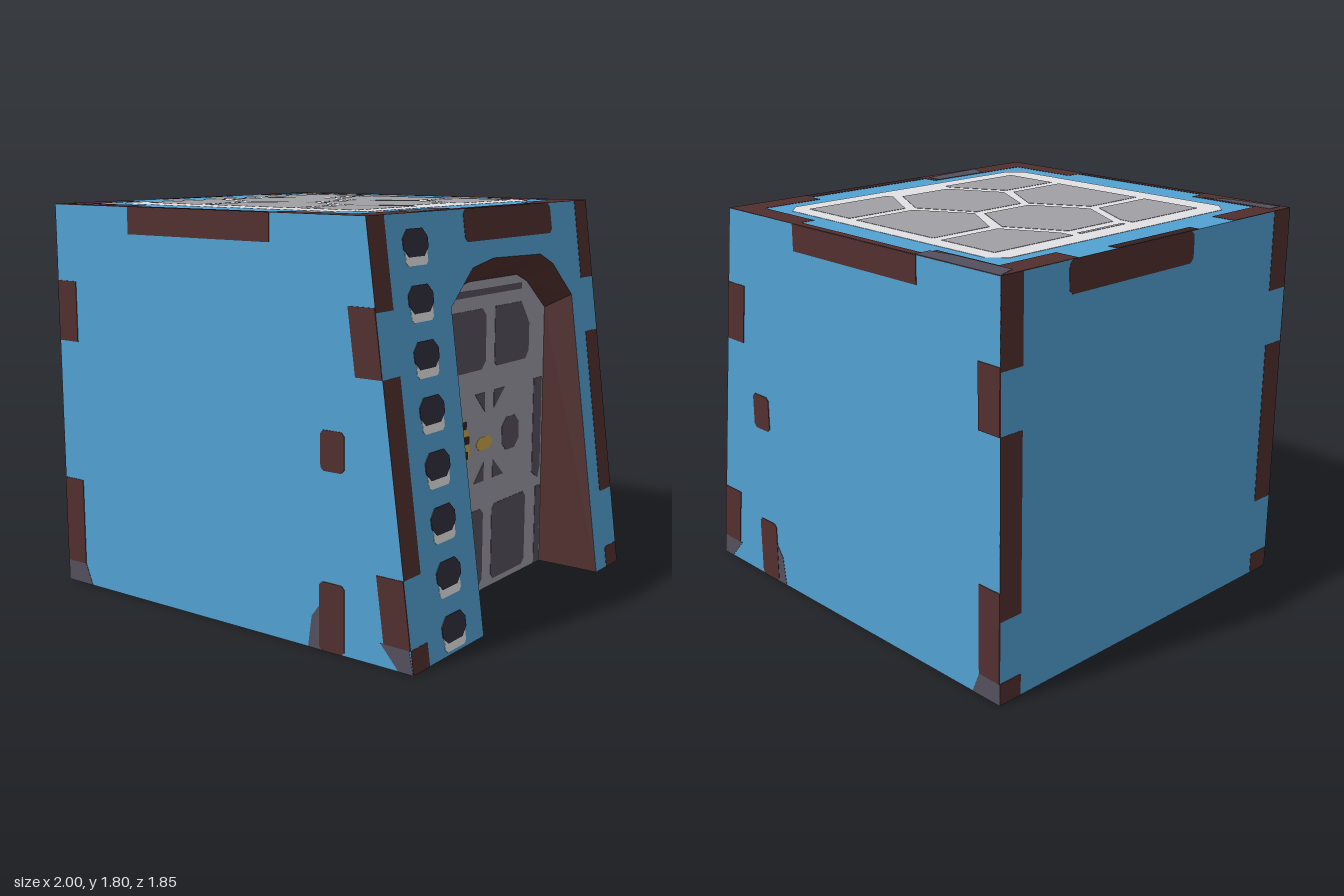
import * as THREE from 'three';

const H = 1.8, D = 0.92, SLOPE = 0.133, DOOR_X = 0.68;
const make = (name, color) => new THREE.MeshStandardMaterial({ name, color, side: THREE.DoubleSide });

const rect = (u0, v0, u1, v1, c = 0) => c
  ? [[u0 + c, v0], [u1 - c, v0], [u1, v0 + c], [u1, v1 - c], [u1 - c, v1], [u0 + c, v1], [u0, v1 - c], [u0, v0 + c]]
  : [[u0, v0], [u1, v0], [u1, v1], [u0, v1]];
const toShape = pts => new THREE.Shape(pts.map(p => new THREE.Vector2(...p)));

// A wall group maps local (u, v) onto a plane in space
function wall(name, origin, u, v) {
  const g = new THREE.Group();
  g.name = name;
  const U = new THREE.Vector3(...u), V = new THREE.Vector3(...v);
  new THREE.Matrix4().makeBasis(U, V, U.clone().cross(V).normalize())
    .setPosition(...origin).decompose(g.position, g.quaternion, g.scale);
  return g;
}

function sheet(g, name, pts, mat) {
  const m = new THREE.Mesh(new THREE.ShapeGeometry(toShape(pts)), mat);
  m.name = name;
  g.add(m);
}

// Thin painted plate, showing on both sides of its wall
function plate(g, name, pts, mat, level = 1) {
  const half = level === 1 ? 0.0015 : 0.003;
  const geo = new THREE.ExtrudeGeometry(toShape(pts), { depth: half * 2, bevelEnabled: false });
  const m = new THREE.Mesh(geo.translate(0, 0, -half), mat);
  m.name = name;
  g.add(m);
}

export function createModel() {
  const root = new THREE.Group();
  root.name = 'shelter';
  const blue = make('blue paint', 0x51a1d2);
  const rust = make('rust', 0x512f2e);
  const white = make('light trim', 0xe2e2e4);
  const cell = make('roof grey', 0xa0a0a5);
  const grey = make('door grey', 0x9b9aa4);
  const slate = make('slate', 0x544f5d);
  const dark = make('dark slot', 0x302e3e);
  const gold = make('hazard yellow', 0xcba645);
  const soot = make('dark soot', 0x342223);

  // Front and back walls share one pattern
  const edge = y => 1 - SLOPE * y;
  for (const s of [1, -1]) {
    const g = wall(s > 0 ? 'frontWall' : 'backWall', [0, 0, s * D], [1, 0, 0], [0, 1, 0]);
    sheet(g, 'panel', [[-1, 0], [1, 0], [edge(H), H], [-1, H]], blue);
    const patches = [
      rect(-0.53, 1.68, 0.28, H), rect(-1, 1.17, -0.88, 1.45), rect(-1, 0.1, -0.88, 0.51),
      rect(0.54, 0.77, 0.66, 0.94, 0.015), rect(0.53, 0, 0.66, 0.3, 0.015),
      ...[[1.17, 1.45], [0.1, 0.38]].map(([a, b]) =>
        [[edge(a) - 0.13, a], [edge(a), a], [edge(b), b], [edge(b) - 0.13, b]]),
    ];
    patches.forEach(p => plate(g, 'rustPatch', p, rust, 2));
    plate(g, 'wornCorner', [[-1, 0], [-0.84, 0], [-0.88, 0.1], [-1, 0.1]], slate);
    plate(g, 'wornCorner', [[0.47, 0], [0.55, 0], [0.55, 0.22], [0.49, 0.14]], slate);
    plate(g, 'wornCorner', [[0.84, 0.1], [0.98, 0.1], [1, 0], [0.93, 0]], slate);
    root.add(g);
  }

  // Left wall and doorway wall, u running along z
  const left = wall('leftWall', [-1, 0, 0], [0, 0, 1], [0, 1, 0]);
  sheet(left, 'panel', rect(-D, 0, D, H), blue);
  const right = wall('doorwayWall', [1, 0, 0], [0, 0, 1], [-SLOPE, 1, 0]);
  const outer = [[0.38, 0], [0.38, 1.4], [0.18, 1.55], [0, 1.58], [-0.42, 1.57], [-0.53, 1.52], [-0.69, 1.36], [-0.69, 0]];
  const inner = [[0.37, 0], [0.36, 1.31], [0.19, 1.44], [0.02, 1.47], [-0.4, 1.47], [-0.5, 1.43], [-0.68, 1.29], [-0.69, 0]];
  sheet(right, 'panel', [[D, 0], [D, H], [-D, H], [-D, 0], ...[...outer].reverse()], blue);
  for (const g of [left, right]) {
    plate(g, 'rustTop', rect(-0.55, 1.66, 0.22, H, 0.02), rust);
    for (const s of [1, -1])
      for (const [a, b] of [[1.43, H], [0.38, 1.17], [0, 0.1]])
        plate(g, 'rustEdge', rect(Math.min(s * 0.8, s * D), a, Math.max(s * 0.8, s * D), b), rust);
    root.add(g);
  }

  // Column of slots with pale lower lips
  for (let i = 0; i < 8; i++) {
    const y = 0.105 + i * 0.225;
    plate(right, 'slotLip', rect(0.52, y - 0.09, 0.68, y, 0.015), white);
    plate(right, 'slot', rect(0.51, y - 0.055, 0.69, y + 0.058, 0.035), dark, 2);
  }

  // Reveal joining the doorway edge to the recessed door
  const pos = [], idx = [];
  outer.forEach(([z, y], i) => pos.push(edge(y), y, z, DOOR_X, inner[i][1], inner[i][0]));
  for (let i = 0; i < outer.length - 1; i++) {
    const a = i * 2;
    idx.push(a, a + 1, a + 2, a + 1, a + 3, a + 2);
  }
  const indexed = new THREE.BufferGeometry();
  indexed.setAttribute('position', new THREE.Float32BufferAttribute(pos, 3));
  indexed.setIndex(idx);
  const revealGeo = indexed.toNonIndexed();
  revealGeo.computeVertexNormals();
  const reveal = new THREE.Mesh(revealGeo, rust);
  reveal.name = 'doorwayReveal';
  root.add(reveal);

  // Door
  const door = wall('door', [DOOR_X, 0, 0], [0, 0, 1], [0, 1, 0]);
  sheet(door, 'doorPanel', inner, grey);
  plate(door, 'upperPane', rect(-0.13, 1.06, 0.2, 1.34, 0.035), slate);
  plate(door, 'upperPane', [[-0.21, 1.08], [-0.23, 1.06], [-0.5, 1.06], [-0.53, 1.1], [-0.53, 1.23], [-0.45, 1.34], [-0.21, 1.34]], slate);
  plate(door, 'lowerPane', rect(-0.13, 0.03, 0.21, 0.4, 0.025), slate);
  plate(door, 'lowerPane', rect(-0.53, 0.03, -0.21, 0.4, 0.025), slate);
  plate(door, 'topSeam', rect(-0.45, 1.4, 0.15, 1.43), slate);
  plate(door, 'sideShade', rect(0.32, 0, 0.365, 0.42), slate);
  plate(door, 'sideShade', rect(0.33, 0.98, 0.36, 1.28), slate);
  plate(door, 'sideShade', rect(-0.68, 0, -0.63, 0.4), slate);
  plate(door, 'sideShade', [[-0.59, 0.48], [-0.65, 0.44], [-0.67, 0.5], [-0.67, 0.95], [-0.59, 0.95]], slate);
  plate(door, 'sideShade', rect(0.24, 0.5, 0.3, 0.93), slate);
  plate(door, 'bluePatch', [[0.365, 0.46], [0.3, 0.52], [0.3, 0.92], [0.365, 0.98]], blue);
  plate(door, 'porthole', rect(-0.45, 0.64, -0.29, 0.8, 0.04), slate);
  for (const s of [1, -1]) {
    const y = v => 0.74 + s * v;
    plate(door, 'smallVent', [[-0.04, y(0.21)], [-0.13, y(0.21)], [-0.13, y(0.12)]], slate);
    plate(door, 'smallVent', [[-0.21, y(0.21)], [-0.31, y(0.21)], [-0.21, y(0.12)]], slate);
  }
  plate(door, 'handle', rect(-0.2, 0.68, -0.06, 0.74, 0.025), gold);

  // Hazard plate: yellow half-hexagon with dark stripes
  plate(door, 'hazardPlate', [[0.24, 0.94], [0.1, 0.9], [0, 0.77], [0, 0.67], [0.17, 0.49], [0.24, 0.5]], gold);
  const reach = y => Math.max(0, y > 0.77 ? (y - 0.77) * 0.8 : 0.67 - y);
  for (let y = 0.52; y < 0.91; y += 0.07) {
    const tilt = (y - 0.72) * 0.25, r = reach(y) + 0.005;
    plate(door, 'hazardStripe', [[0.235, y + tilt], [r, y], [r, y + 0.036], [0.235, y + 0.036 + tilt]], soot, 2);
  }
  plate(door, 'hazardCentre', rect(0.06, 0.67, 0.21, 0.79, 0.03), slate, 2);
  root.add(door);

  // Roof, v running along z
  const roof = wall('roof', [0, H, 0], [1, 0, 0], [0, 0, 1]);
  const rx = edge(H);
  sheet(roof, 'panel', rect(-1, -D, rx, D), blue);
  plate(roof, 'trim', rect(-0.82, -0.76, 0.57, 0.72, 0.07), white);
  const mid = -0.04;
  for (const s of [1, -1]) {
    const at = pts => pts.map(([x, z]) => [x, mid + s * z]);
    plate(roof, 'roofCell', at([[-0.72, 0.64], [-0.41, 0.64], [-0.41, 0.32], [-0.65, 0.19], [-0.72, 0.19]]), cell, 2);
    plate(roof, 'roofCell', at([[-0.36, 0.64], [0.14, 0.64], [0.14, 0.32], [-0.11, 0.17], [-0.36, 0.32]]), cell, 2);
    plate(roof, 'roofCell', at([[0.19, 0.64], [0.48, 0.64], [0.48, 0.19], [0.44, 0.18], [0.19, 0.32]]), cell, 2);
  }
  for (const x of [-0.395, 0.165])
    plate(roof, 'roofHexagon', [[x, mid - 0.28], [x + 0.255, mid - 0.14], [x + 0.255, mid + 0.14],
      [x, mid + 0.28], [x - 0.255, mid + 0.14], [x - 0.255, mid - 0.14]], cell, 2);
  plate(roof, 'roofCell', rect(-0.72, -0.18, -0.7, 0.1), cell, 2);

  // Worn roof edges
  for (const s of [1, -1]) {
    const bar = (x0, z0, x1, z1, m) => plate(roof, 'wornEdge', rect(x0, Math.min(s * z0, s * z1), x1, Math.max(s * z0, s * z1)), m);
    bar(-1, 0.81, -0.53, D, rust);
    bar(0.27, 0.81, rx, D, rust);
    bar(-1, 0.5, -0.88, 0.81, rust);
    bar(0.64, s > 0 ? 0.22 : 0.5, rx, 0.81, rust);
    bar(-0.53, 0.88, 0.27, D, s > 0 ? soot : rust);
  }
  plate(roof, 'wornPaint', [[-1, -D], [-0.52, -D], [-0.52, -0.84], [-0.65, -0.82], [-0.96, -0.82]], slate, 2);
  plate(roof, 'wornPaint', [[0.64, 0.25], [0.72, 0.25], [0.75, 0.6], [0.64, 0.55]], slate, 2);
  plate(roof, 'wornPaint', [[-0.96, 0.82], [-0.58, 0.82], [-0.7, 0.88], [-0.96, 0.9]], slate, 2);
  plate(roof, 'wornEdge', rect(-1, -0.27, -0.95, 0.25), soot);
  plate(roof, 'wornEdge', rect(0.71, -0.5, rx, 0.22), soot);
  root.add(roof);
  return root;
}
